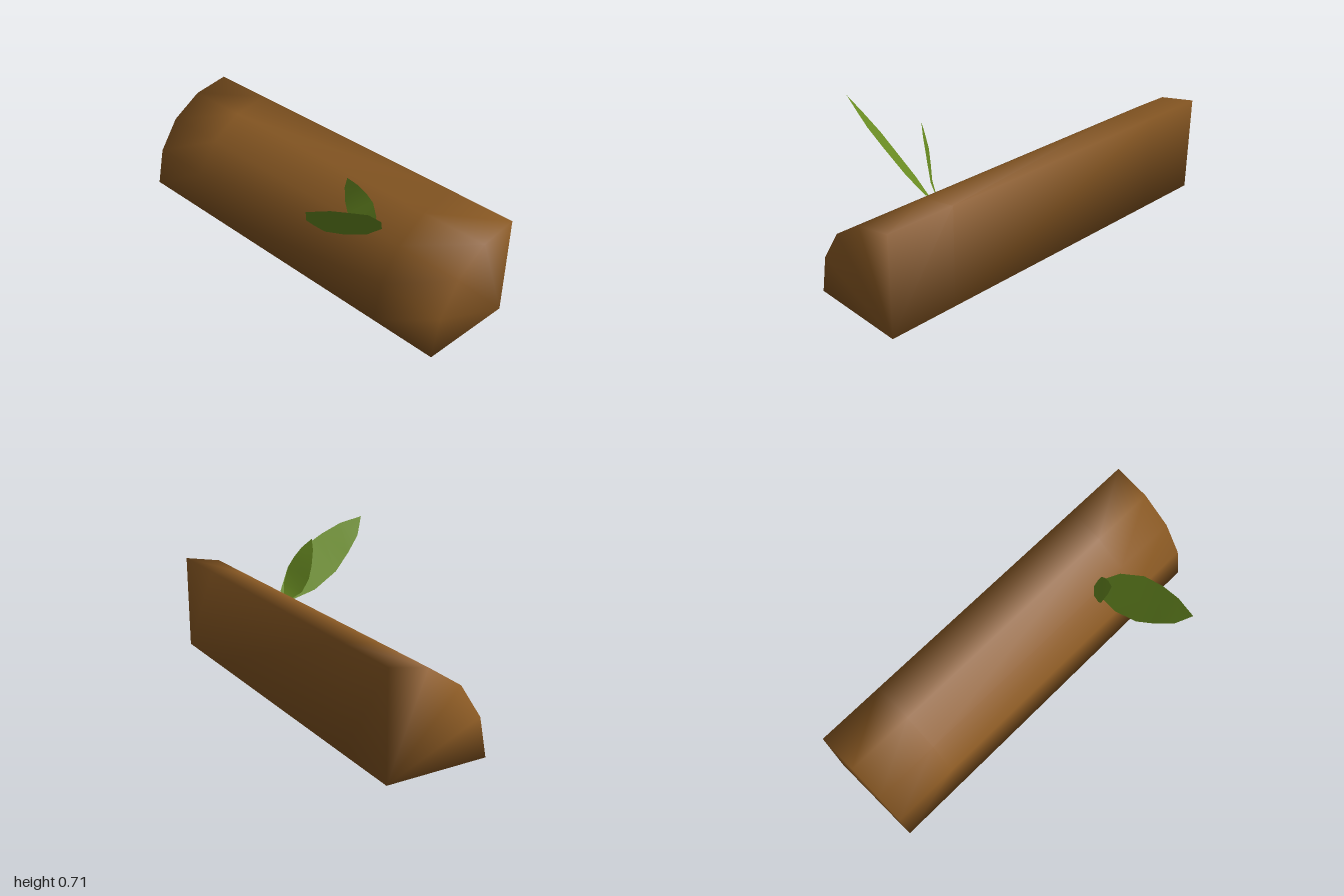
import * as THREE from 'three';

function surface(points, faces, material, name) {
  const geometry = new THREE.BufferGeometry();
  geometry.setAttribute('position', new THREE.Float32BufferAttribute(points.flat(), 3));
  geometry.setIndex(faces.flat());
  geometry.computeVertexNormals();
  const mesh = new THREE.Mesh(geometry, material);
  mesh.name = name;
  return mesh;
}

// Split log: a quarter-round section swept along x, softly shaded all over
function makeLog(material) {
  const profile = [[0.077, 0], [0.04, 0.19], [-0.065, 0.35], [-0.225, 0.455], [-0.415, 0.492], [-0.415, 0]];
  const stations = [-0.9925, -0.65, 0.65, 0.9925];
  const n = profile.length, last = (stations.length - 1) * n;
  const points = stations.flatMap(x => profile.map(([z, y]) => [x, y, z]));
  const faces = [];
  for (let i = 0; i < stations.length - 1; i++) {
    for (let j = 0; j < n; j++) {
      const k = (j + 1) % n, a = i * n + j, d = i * n + k;
      faces.push([a, a + n, d + n], [a, d + n, d]);
    }
  }
  // End caps fan out from the back bottom corner
  for (let j = 0; j < n - 2; j++) {
    faces.push([n - 1, j, j + 1], [last + n - 1, last + j + 1, last + j]);
  }
  const log = surface(points, faces, material, 'log');
  log.rotation.y = -0.03;
  log.position.x = -0.005;
  return log;
}

// Leaf: a thin blade between two edges that meet at the tip
function makeLeaf(left, right, tip, material, name) {
  const points = [...left.flatMap((p, i) => [p, right[i]]), tip];
  const faces = [];
  for (let i = 0; i < left.length - 1; i++) {
    const a = i * 2;
    faces.push([a, a + 3, a + 1], [a, a + 2, a + 3]);
  }
  const end = (left.length - 1) * 2;
  faces.push([end, end + 2, end + 1]);
  return surface(points, faces, material, name);
}

export function createModel() {
  const bark = new THREE.MeshStandardMaterial({ color: 0x8b5a24 });
  bark.name = 'bark brown';
  const green = new THREE.MeshStandardMaterial({ color: 0x6b8e23, side: THREE.DoubleSide });
  green.name = 'leaf green';

  const model = new THREE.Group();
  model.name = 'logWithLeaves';
  model.add(makeLog(bark));
  model.add(makeLeaf(
    [[0.47, 0.33, -0.035], [0.44, 0.375, 0.09], [0.44, 0.455, 0.22], [0.46, 0.54, 0.31], [0.49, 0.62, 0.39]],
    [[0.525, 0.37, -0.07], [0.575, 0.465, 0], [0.6, 0.57, 0.12], [0.595, 0.63, 0.23], [0.575, 0.68, 0.335]],
    [0.54, 0.71, 0.445], green, 'largeLeaf'));
  model.add(makeLeaf(
    [[0.445, 0.345, -0.05], [0.42, 0.38, 0], [0.4, 0.45, 0.03], [0.395, 0.52, 0.045], [0.405, 0.6, 0.06]],
    [[0.475, 0.37, -0.075], [0.49, 0.42, -0.068], [0.485, 0.505, -0.045], [0.47, 0.56, -0.015], [0.45, 0.61, 0.02]],
    [0.42, 0.655, 0.062], green, 'smallLeaf'));
  return model;
}
